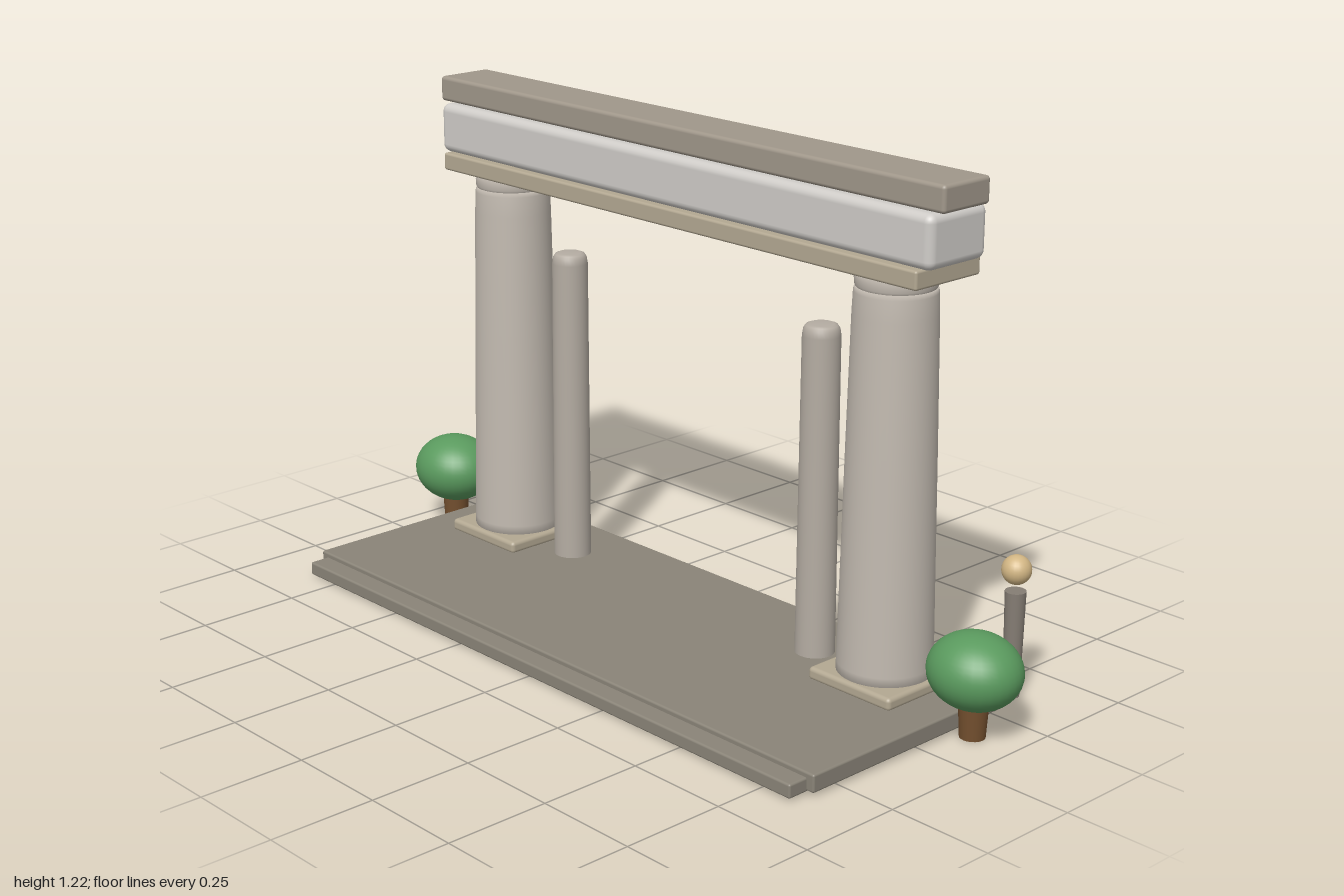
import * as THREE from 'three';
import { RoundedBoxGeometry } from 'three/addons/geometries/RoundedBoxGeometry.js';

const mat = (color) => new THREE.MeshStandardMaterial({ color });
const COLORS = {
  floor: mat(0x8a8478), trim: mat(0xb3a892), cornice: mat(0xa0978a), pale: mat(0xcfccc8),
  column: mat(0xc2bab0), pillar: mat(0xb4aca2), post: mat(0x857d74),
  lamp: mat(0xd2b684), leaf: mat(0x5a9a5e), trunk: mat(0x74502f), panel: mat(0x8c7a55),
};
const AXIS_Z = -0.13; // centre line of the colonnade

export function createModel() {
  const model = new THREE.Group();

  const add = (name, geometry, material, x = 0, y = 0, z = 0) => {
    const mesh = new THREE.Mesh(geometry, material);
    mesh.name = name;
    mesh.position.set(x, y, z);
    model.add(mesh);
    return mesh;
  };
  // Softened block given by half width, y range and z range
  const block = (name, material, halfX, y0, y1, z0, z1, r, x = 0) =>
    add(name, new RoundedBoxGeometry(halfX * 2, y1 - y0, z1 - z0, 3, r),
      material, x, (y0 + y1) / 2, (z0 + z1) / 2);
  const lathe = (pts, segments = 40) =>
    new THREE.LatheGeometry(pts.map(([r, y]) => new THREE.Vector2(r, y)), segments);

  // Platform, front step and the inlaid panel under it
  block('platform', COLORS.floor, 0.855, 0.01, 0.052, -0.29, 0.33, 0.005);
  block('frontStep', COLORS.floor, 0.835, 0.007, 0.04, 0.18, 0.38, 0.005);
  block('underPanel', COLORS.panel, 0.365, 0.006, 0.03, -0.19, -0.06, 0.003);

  // Entablature
  block('architrave', COLORS.trim, 0.775, 0.993, 1.036, -0.232, -0.028, 0.006);
  block('frieze', COLORS.pale, 0.8, 1.034, 1.155, -0.222, -0.04, 0.02);
  block('cornice', COLORS.cornice, 0.818, 1.157, 1.218, -0.203, -0.057, 0.009);

  // Profiles shared by both sides
  const shaft = lathe([[0, 0.06], [0.109, 0.06], [0.1085, 0.1], [0.105, 0.3], [0.1, 0.6],
    [0.094, 0.9], [0.092, 0.95], [0.089, 0.961], [0, 0.961]]);
  const capital = lathe([[0, 0.955], [0.086, 0.955], [0.09, 0.966], [0.091, 0.98], [0.089, 0.998], [0, 0.998]]);
  const pillar = lathe([[0, 0.005], [0.047, 0.005], [0.0465, 0.02], [0.0435, 0.805],
    [0.041, 0.82], [0.036, 0.828], [0.028, 0.831], [0, 0.831]], 32);
  const post = new THREE.CylinderGeometry(0.024, 0.019, 0.252, 20);
  const lamp = new THREE.SphereGeometry(0.034, 24, 16);
  const trunk = new THREE.CylinderGeometry(0.035, 0.029, 0.1, 20);
  const crown = new THREE.SphereGeometry(1, 32, 24);

  for (const [side, s] of [['left', 1], ['right', -1]]) {
    // Large column
    block(side + 'ColumnPlinth', COLORS.trim, 0.121, 0.048, 0.079, -0.253, -0.01, 0.01, s * 0.633);
    add(side + 'ColumnShaft', shaft, COLORS.column, s * 0.633, 0, AXIS_Z);
    add(side + 'ColumnCapital', capital, COLORS.column, s * 0.633, 0, AXIS_Z);
    // Slim inner pillar
    add(side + 'InnerPillar', pillar, COLORS.pillar, s * 0.42, 0, AXIS_Z);
    // Lamp on a tapered post
    add(side + 'LampPost', post, COLORS.post, s * 0.82, 0.134, -0.345);
    add(side + 'LampGlobe', lamp, COLORS.lamp, s * 0.82, 0.31, -0.345);
    // Round shrub
    add(side + 'ShrubTrunk', trunk, COLORS.trunk, s * 0.89, 0.052, AXIS_Z);
    add(side + 'ShrubCrown', crown, COLORS.leaf, s * 0.89, 0.157, AXIS_Z).scale.set(0.11, 0.086, 0.1);
  }
  return model;
}
